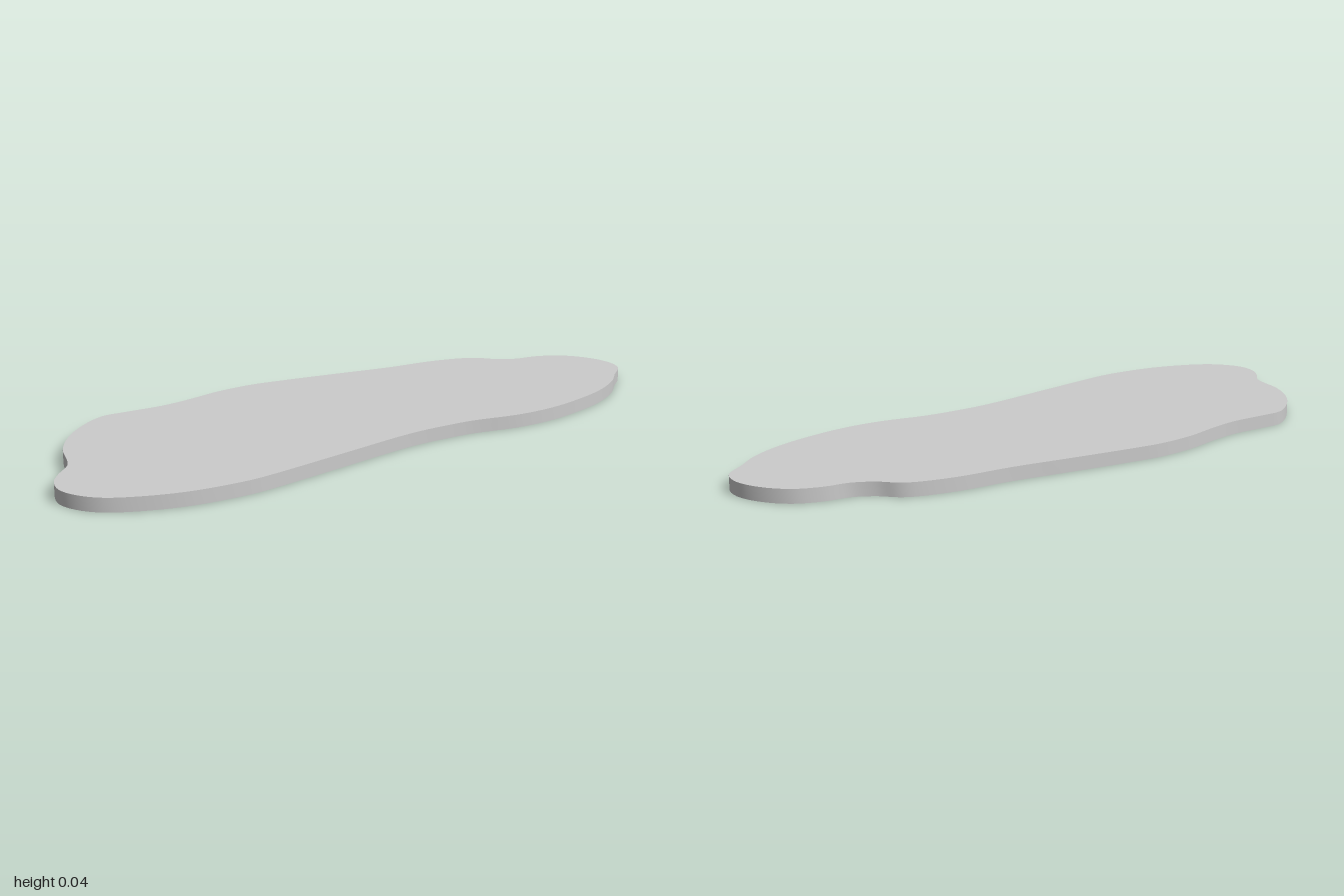
import * as THREE from 'three';
import { toCreasedNormals } from 'three/addons/utils/BufferGeometryUtils.js';

const THICKNESS = 0.04;

// Outline seen from above as [x, z], starting at the back end
const OUTLINE = [
  [0.13, -1], [0.2, -0.98], [0.25, -0.91], [0.3, -0.84], [0.345, -0.73], [0.37, -0.6],
  [0.378, -0.48], [0.365, -0.36], [0.325, -0.22], [0.31, -0.12], [0.302, 0], [0.318, 0.26],
  [0.335, 0.53], [0.333, 0.59], [0.31, 0.73], [0.27, 0.84], [0.21, 0.94], [0.15, 0.985],
  [0.09, 1], [0.03, 0.982], [-0.01, 0.95], [-0.06, 0.895], [-0.1, 0.875], [-0.18, 0.845],
  [-0.27, 0.78], [-0.34, 0.695], [-0.38, 0.61], [-0.375, 0.54], [-0.36, 0.42], [-0.365, 0.32],
  [-0.38, 0.2], [-0.376, 0.08], [-0.36, 0], [-0.31, -0.2], [-0.26, -0.39], [-0.23, -0.55],
  [-0.19, -0.66], [-0.165, -0.695], [-0.12, -0.73], [-0.08, -0.785], [-0.06, -0.86],
  [-0.02, -0.93], [0.05, -0.98],
];

export function createModel() {
  const group = new THREE.Group();
  group.name = 'flatSlab';

  // Smooth closed curve through the outline points
  const curve = new THREE.CatmullRomCurve3(
    OUTLINE.map(([x, z]) => new THREE.Vector3(x, z, 0)), true, 'centripetal');
  const points = curve.getPoints(OUTLINE.length * 4).slice(0, -1);
  const shape = new THREE.Shape(points.map((p) => new THREE.Vector2(p.x, p.y)));

  // Extrude, then lay flat with the underside on the ground
  const geometry = new THREE.ExtrudeGeometry(shape, { depth: THICKNESS, bevelEnabled: false });
  geometry.rotateX(Math.PI / 2).translate(0, THICKNESS, 0);

  // Smooth side wall, sharp rims
  const slab = new THREE.Mesh(
    toCreasedNormals(geometry, 0.6),
    new THREE.MeshStandardMaterial({ color: 0xcccccc }));
  slab.name = 'slab';
  group.add(slab);
  return group;
}
